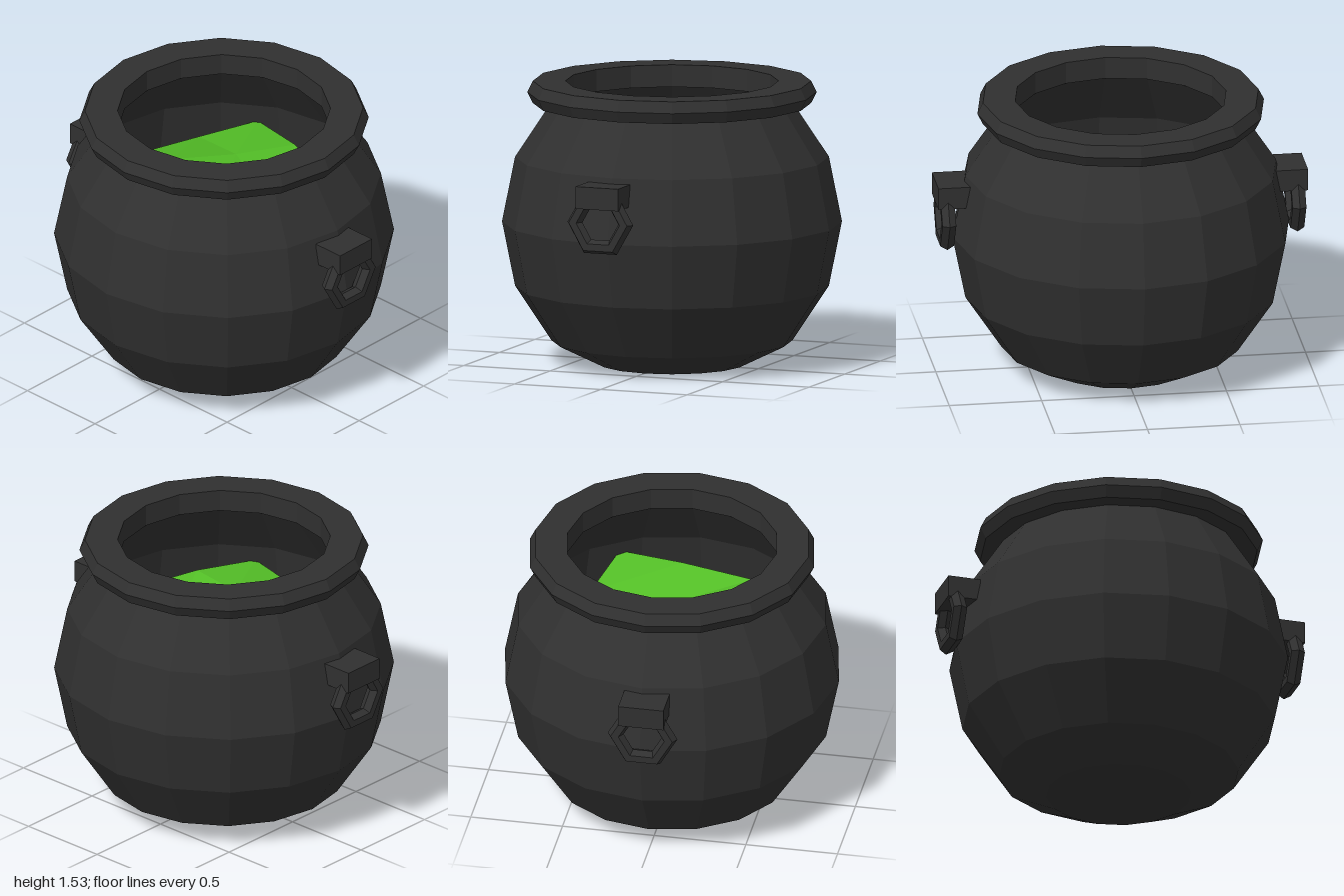
import * as THREE from 'three';

export function createModel() {
  const model = new THREE.Group();
  const iron = new THREE.MeshStandardMaterial({ color: 0x303030, flatShading: true });
  iron.name = 'black iron';
  const green = new THREE.MeshStandardMaterial({ color: 0x54c027, flatShading: true, side: THREE.DoubleSide });
  green.name = 'green brew';

  const add = (name, geometry, material, parent = model) => {
    const mesh = new THREE.Mesh(geometry, material);
    mesh.name = name;
    parent.add(mesh);
    return mesh;
  };
  const lathe = (points) =>
    new THREE.LatheGeometry(points.map(([r, y]) => new THREE.Vector2(r, y)), 16);

  // Round pot: outer wall going up, inner wall going back down
  add('potBody', lathe([
    [0, 0], [0.39, 0], [0.645, 0.125], [0.84, 0.42], [0.91, 0.77], [0.84, 1.12], [0.645, 1.415],
    [0.575, 1.415], [0.79, 1.1], [0.85, 0.77], [0.78, 0.45], [0.58, 0.18], [0, 0.08],
  ]), iron);

  // Bevelled rim around the mouth
  add('rim', lathe([
    [0.57, 1.41], [0.745, 1.41], [0.775, 1.47], [0.745, 1.53], [0.57, 1.53], [0.57, 1.41],
  ]), iron);

  // Choppy brew surface: a turned 3 x 3 grid with a height at each corner
  const lines = [-0.58, -0.206, 0.206, 0.58];
  const heights = [
    [1.0, 1.02, 1.0, 0.98],
    [1.02, 1.18, 1.08, 1.02],
    [1.0, 1.07, 0.96, 0.97],
    [1.0, 1.04, 1.04, 1.02],
  ];
  const surface = new THREE.PlaneGeometry(1, 1, 3, 3);
  const pos = surface.attributes.position;
  for (let i = 0; i < pos.count; i++) {
    const row = Math.floor(i / 4), col = i % 4;
    pos.setXYZ(i, lines[col], heights[row][col], lines[row]);
  }
  surface.rotateY(-0.245);
  surface.computeVertexNormals();
  add('brew', surface, green);

  // Front and back handles: a block holding a six-sided ring
  for (const [name, side] of [['frontHandle', 1], ['backHandle', -1]]) {
    const handle = new THREE.Group();
    handle.name = name;
    handle.position.x = -0.024;
    add('handleBlock', new THREE.BoxGeometry(0.246, 0.12, 0.18), iron, handle)
      .position.set(0, 1.03, side * 0.91);
    add('handleRing', new THREE.TorusGeometry(0.147, 0.043, 6, 6), iron, handle)
      .position.set(0, 0.89, side * 0.947);
    model.add(handle);
  }
  return model;
}
